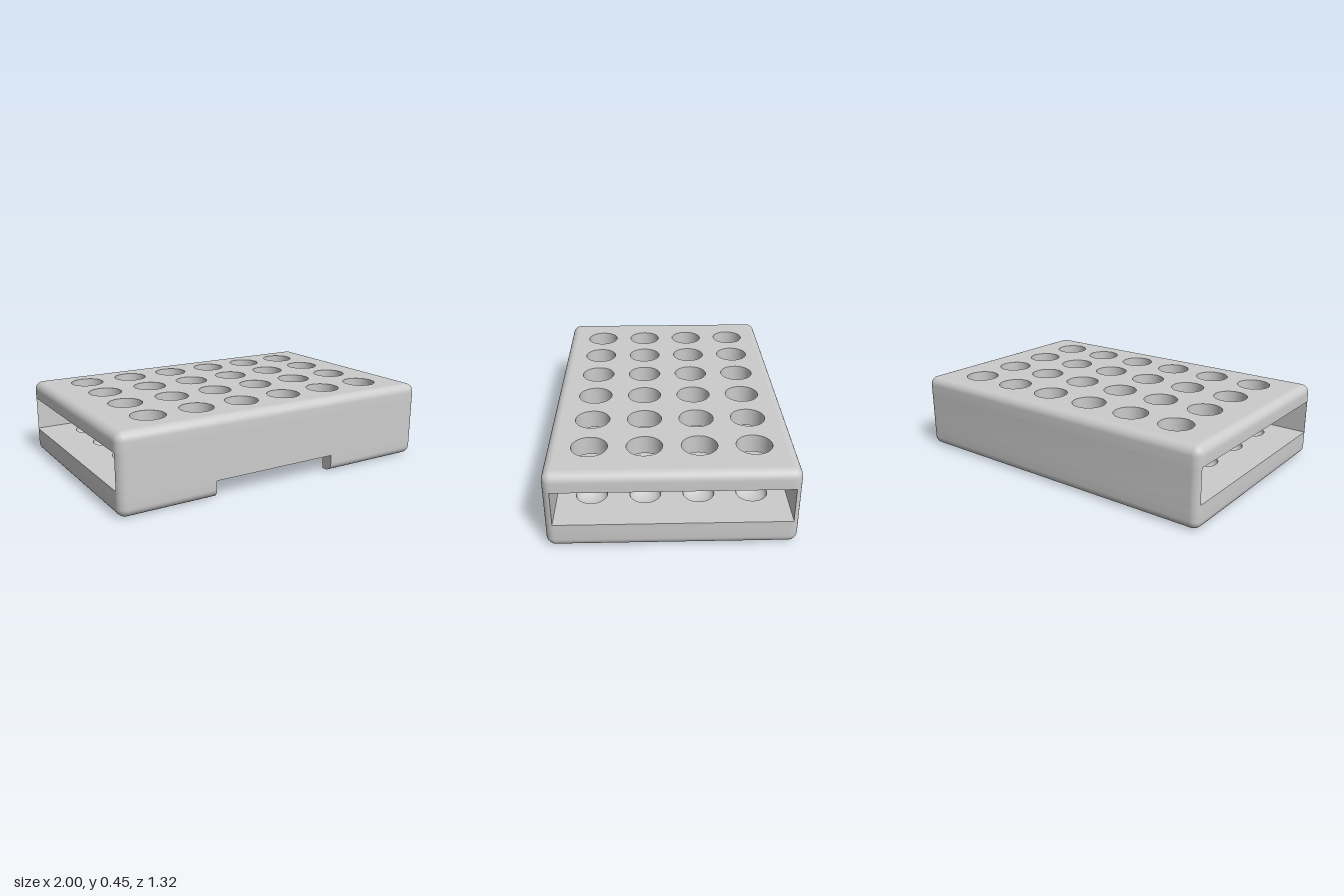
import * as THREE from 'three';
import { toCreasedNormals, mergeGeometries } from 'three/addons/utils/BufferGeometryUtils.js';

const W = 1, D = 0.66, H = 0.45, R = 0.05;       // half width, half depth, height, edge radius
const FLOOR = 0.145, ROOF = 0.345;               // tunnel floor and ceiling
const RECESS = 0.085, RIM = 0.075;               // underside recess depth and wall thickness
const NOTCH = [-0.44, 0.34], NOTCH_TOP = 0.1;
const SEG = 8;
const HOLE_R = 0.097, CUP_R = 0.085;

const material = new THREE.MeshStandardMaterial({ color: 0xcccccc, side: THREE.DoubleSide });

// Plan outline inset by d: four rounded corners, then the two notch points on the front edge
function outline(d, y) {
  const pts = [], r = Math.max(R - d, 0), e = Math.max(R, d);
  const corners = [[1, 1], [1, -1], [-1, -1], [-1, 1]];
  corners.forEach(([sx, sz], c) => {
    for (let i = 0; i <= SEG; i++) {
      const t = (c + i / SEG) * Math.PI / 2;
      pts.push([sx * (W - e) + r * Math.sin(t), y, sz * (D - e) + r * Math.cos(t)]);
    }
  });
  NOTCH.forEach(x => pts.push([x, y, D - d]));
  return pts;
}
const NOTCH_SEG = 4 * (SEG + 1);
// Outline segments left open at the two tunnel mouths
const MOUTH_SEGS = [SEG - 1, SEG, SEG + 1, SEG + 2, 3 * SEG, 3 * SEG + 1, 3 * SEG + 2, 3 * SEG + 3];

// Skin over a profile of [inset, y] points, leaving out some outline segments
function skin(profile, skip = []) {
  const pos = [];
  const rows = profile.map(([d, y]) => outline(d, y));
  const tri = (a, b, c) => {
    const v = [a, b, c].map(p => new THREE.Vector3(...p));
    const area = v[1].clone().sub(v[0]).cross(v[2].clone().sub(v[0])).length();
    if (area > 1e-9) pos.push(...a, ...b, ...c);
  };
  for (let j = 0; j < rows.length - 1; j++) {
    const A = rows[j], B = rows[j + 1];
    for (let i = 0; i < A.length; i++) {
      if (skip.includes(i)) continue;
      const k = (i + 1) % A.length;
      tri(A[i], A[k], B[k]);
      tri(A[i], B[k], B[i]);
    }
  }
  const g = new THREE.BufferGeometry();
  g.setAttribute('position', new THREE.Float32BufferAttribute(pos, 3));
  return g;
}

// Smooth the rounded edges, keep sharp ones sharp
function crease(g) {
  g.scale(20, 20, 20);
  const out = toCreasedNormals(g, 0.6);
  return out.scale(0.05, 0.05, 0.05);
}

// Well positions, 6 by 4
const wells = [];
for (let i = 0; i < 6; i++)
  for (let j = 0; j < 4; j++) wells.push([-0.724 + 0.291 * i, -0.441 + 0.291 * j]);

function rect(x0, x1, y0, y1) {
  return new THREE.Shape([[x0, y0], [x1, y0], [x1, y1], [x0, y1]].map(p => new THREE.Vector2(...p)));
}

// Horizontal face with optional round holes at every well
function plate(hx, z0, z1, y, up, holeR) {
  const s = up ? -1 : 1;
  const shape = rect(-hx, hx, Math.min(s * z0, s * z1), Math.max(s * z0, s * z1));
  if (holeR) for (const [x, z] of wells) {
    const h = new THREE.Path();
    h.absarc(x, s * z, holeR, 0, Math.PI * 2, true);
    shape.holes.push(h);
  }
  return new THREE.ShapeGeometry(shape, 18).rotateX(s * Math.PI / 2).translate(0, y, 0);
}

// Upright face across x, facing front or back
function wall(x0, x1, y0, y1, z, back) {
  const g = new THREE.PlaneGeometry(x1 - x0, y1 - y0);
  if (back) g.rotateY(Math.PI);
  return g.translate((x0 + x1) / 2, (y0 + y1) / 2, z);
}

export function createModel() {
  const group = new THREE.Group();
  const add = (name, g) => {
    const m = new THREE.Mesh(g, material);
    m.name = name;
    group.add(m);
  };

  // Quarter-round edge profiles, bottom and top
  const bottomEdge = [], topEdge = [];
  for (let i = 0; i <= SEG; i++) {
    const t = i / SEG * Math.PI / 2;
    bottomEdge.push([R * (1 - Math.sin(t)), R * (1 - Math.cos(t))]);
    topEdge.push([R * (1 - Math.cos(t)), H - R * (1 - Math.sin(t))]);
  }

  // Base rim: recess wall, foot and rounded edge, interrupted by the front notch
  const rimProfile = [[RIM, RECESS], [RIM, 0], ...bottomEdge, [0, NOTCH_TOP]];
  add('baseRim', crease(skin(rimProfile, [NOTCH_SEG])));
  add('baseWall', crease(skin([[0, NOTCH_TOP], [0, FLOOR]])));

  // Outer walls beside the tunnel, and the rounded lid edge
  add('sideWalls', crease(skin([[0, FLOOR], [0, ROOF]], MOUTH_SEGS)));
  add('lidEdge', crease(skin([[0, ROOF], ...topEdge])));

  // Notch: ends, top and the slab edge behind it
  const section = new THREE.Shape([...rimProfile, [RIM, NOTCH_TOP]].map(([d, y]) => new THREE.Vector2(D - d, y)));
  const ends = NOTCH.map(x => new THREE.ShapeGeometry(section).rotateY(-Math.PI / 2).translate(x, 0, 0));
  add('notchEnds', mergeGeometries(ends));
  const zIn = D - RIM;
  const notchTop = new THREE.PlaneGeometry(NOTCH[1] - NOTCH[0], RIM).rotateX(Math.PI / 2)
    .translate((NOTCH[0] + NOTCH[1]) / 2, NOTCH_TOP, D - RIM / 2);
  add('notchTop', notchTop);
  add('notchBack', wall(NOTCH[0], NOTCH[1], RECESS, NOTCH_TOP, zIn, false));

  // Flat faces: underside recess, tunnel floor and ceiling, top
  const zFront = D - R + R * Math.sin(Math.PI / 2 / SEG);
  const zBack = -(D - R + R * Math.sin(Math.PI / SEG));
  add('underside', plate(W - RIM, -zIn, zIn, RECESS, false));
  add('tunnelFloor', plate(W, zBack, zFront, FLOOR, true, CUP_R));
  add('tunnelCeiling', plate(W, zBack, zFront, ROOF, false, HOLE_R));
  add('top', plate(W - R, -(D - R), D - R, H, true, HOLE_R));
  add('tunnelFrontWall', wall(-W + 0.001, W - 0.001, FLOOR, ROOF, zFront, true));
  add('tunnelBackWall', wall(-W + 0.004, W - 0.004, FLOOR, ROOF, zBack, false));

  // Wells: round bore through the lid and a shallow rounded cup in the floor
  const bore = new THREE.CylinderGeometry(HOLE_R, HOLE_R, H - ROOF, 36, 1, true);
  const cupProfile = [];
  for (let i = 0; i <= 8; i++) {
    const t = i / 8 * Math.PI / 2;
    cupProfile.push(new THREE.Vector2(CUP_R * Math.sin(t), FLOOR - 0.05 * Math.cos(t)));
  }
  const cup = new THREE.LatheGeometry(cupProfile, 36);
  wells.forEach(([x, z]) => {
    add('wellBore', bore.clone().translate(x, (H + ROOF) / 2, z));
    add('wellCup', cup.clone().translate(x, 0, z));
  });
  return group;
}
